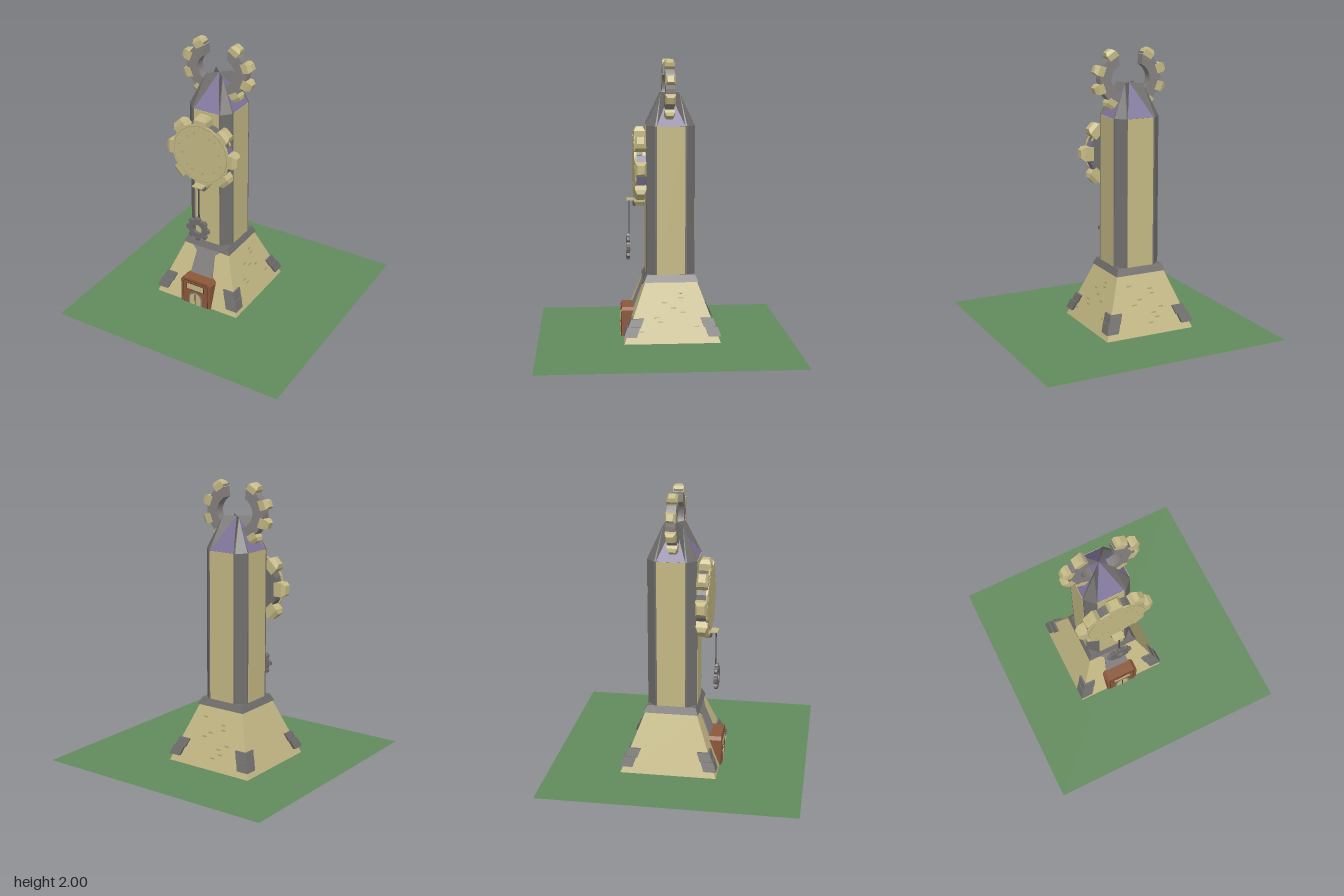
import * as THREE from 'three';
import { ConvexGeometry } from 'three/addons/geometries/ConvexGeometry.js';

const paint = (name, color, side = THREE.FrontSide) => {
  const m = new THREE.MeshStandardMaterial({ color, side, flatShading: true });
  m.name = name;
  return m;
};

export function createModel() {
  const stone = paint('tan stone', 0xc4b985);
  const brick = paint('dull brick', 0xa59a70);
  const metal = paint('grey metal', 0x706e6c);
  const light = paint('light grey', 0x858180);
  const slate = paint('purple slate', 0x7c7298);
  const wood = paint('brown wood', 0x8b583b);
  const darkWood = paint('dark wood', 0x5c3826);
  const iron = paint('dark iron', 0x4a4847);
  const grass = paint('green grass', 0x628a5c, THREE.DoubleSide);

  const model = new THREE.Group();
  model.name = 'clockTower';
  const tower = new THREE.Group();
  tower.name = 'tower';
  tower.position.set(-0.11, 0, -0.05);
  model.add(tower);

  const add = (parent, name, geo, mat, x = 0, y = 0, z = 0) => {
    const mesh = new THREE.Mesh(geo, mat);
    mesh.name = name;
    mesh.position.set(x, y, z);
    parent.add(mesh);
    return mesh;
  };
  const box = (w, h, d) => new THREE.BoxGeometry(w, h, d);
  // Box between two rectangles [x0, x1, z0, z1] at heights y0 and y1
  const prism = (y0, a, y1, b) => {
    const geo = box(1, 1, 1), p = geo.attributes.position;
    for (let i = 0; i < p.count; i++) {
      const top = p.getY(i) > 0, r = top ? b : a;
      p.setXYZ(i, p.getX(i) < 0 ? r[0] : r[1], top ? y1 : y0, p.getZ(i) < 0 ? r[2] : r[3]);
    }
    geo.computeVertexNormals();
    return geo;
  };
  const square = (h) => [-h, h, -h, h];
  const span = (s, a, b) => (s > 0 ? [a, b] : [-b, -a]);
  const V = (x, y, z) => new THREE.Vector3(x, y, z);
  // Eight points of a square with cut corners
  const octagon = (a, b, y) => [-1, 1].flatMap((sx) => [-1, 1].flatMap((sz) =>
    [V(sx * a, y, sz * b), V(sx * b, y, sz * a)]));
  let seed = 7;
  const rand = () => (seed = (seed * 16807) % 2147483647) / 2147483647;

  // Ground, with a patchwork of tiles under the tower
  add(model, 'ground', new THREE.PlaneGeometry(1.8, 1.8).rotateX(-Math.PI / 2), grass, 0, 0.01, 0);
  const tiles = [
    [stone, wood, slate, brick], [stone, wood, slate, slate],
    [wood, wood, stone, stone], [light, light, stone, stone],
  ];
  tiles.forEach((row, i) => row.forEach((mat, j) =>
    add(tower, 'undersideTile', new THREE.PlaneGeometry(0.165, 0.165).rotateX(Math.PI / 2), mat,
      0.2475 - j * 0.165, 0, i * 0.165 - 0.2475)));

  // Sloped base and collar
  const slope = (y) => 0.34 - (y - 0.01) * 0.378;
  add(tower, 'base', prism(0.011, square(0.34), 0.42, square(0.185)), stone);
  add(tower, 'collar', prism(0.42, square(0.195), 0.47, square(0.172)), metal);
  const strip = (y0, w0, y1, w1) => add(tower, 'frontStrip', prism(
    y0, [-w0, w0, 0.1, slope(y0) + 0.008], y1, [-w1, w1, 0.1, slope(y1) + 0.008]), light);
  strip(0.2, 0.095, 0.385, 0.075);
  strip(0.385, 0.075, 0.425, 0.125);

  // A few faint bricks on the left and back slopes
  for (const turn of [Math.PI / 2, Math.PI]) {
    const wall = new THREE.Group();
    wall.name = 'wallBricks';
    wall.rotation.y = turn;
    tower.add(wall);
    for (let i = 0; i < 9; i++) {
      const y = 0.09 + 0.032 * i;
      const x = (rand() * 2 - 1) * (slope(y) - 0.09);
      add(wall, 'brick', box(0.035, 0.01, 0.003), brick, x, y, slope(y)).rotation.x = -0.36;
    }
  }

  // Shaft with cut corners, a stone panel on each side
  add(tower, 'shaft', new ConvexGeometry([...octagon(0.113, 0.174, 0.47), ...octagon(0.113, 0.172, 1.53)]), metal);
  for (let i = 0; i < 4; i++) {
    const panel = new THREE.Group();
    panel.name = 'shaftSide';
    panel.rotation.y = i * Math.PI / 2;
    tower.add(panel);
    add(panel, 'shaftPanel', box(0.2, 1.058, 0.008), stone, 0, 1.0, 0.1715);
  }

  // Roof
  add(tower, 'roof', new ConvexGeometry([...octagon(0.102, 0.172, 1.53), V(0, 1.76, 0)]), slate);

  // Corner feet and roof hips, once per corner
  for (const sx of [-1, 1]) for (const sz of [-1, 1]) {
    const foot = (y0, y1, out) => {
      const r = (y) => {
        const h = slope(y) + out;
        return [...span(sx, h - 0.09, h), ...span(sz, h - 0.09, h)];
      };
      add(tower, 'cornerFoot', prism(y0, r(y0), y1, r(y1)), metal);
    };
    foot(0.06, 0.125, 0.022);
    foot(0.12, 0.18, 0.014);
    add(tower, 'roofHip', new ConvexGeometry([
      V(sx * 0.113, 1.53, sz * 0.173), V(sx * 0.173, 1.53, sz * 0.113),
      V(sx * 0.1, 1.53, sz * 0.173), V(sx * 0.173, 1.53, sz * 0.1),
      V(sx * 0.067, 1.76, sz * 0.067), V(0, 1.76, 0)]), metal);
  }

  // Ring of bevelled teeth in the xy plane
  const teeth = (parent, n, start, r0, r1, r2, w, d, mat, skip = -1) => {
    for (let i = 0; i < n; i++) {
      if (i === skip) continue;
      const tooth = new THREE.Group();
      tooth.name = 'tooth';
      tooth.rotation.z = start + i * 2 * Math.PI / n - Math.PI / 2;
      const a = [-w / 2, w / 2, -d / 2, d / 2], b = a.map((v) => v * 0.62);
      add(tooth, 'toothBase', prism(r0, a, r1, a), mat);
      add(tooth, 'toothTip', prism(r1, a, r2, b), mat);
      parent.add(tooth);
    }
  };
  const wheel = (name, y, z) => {
    const g = new THREE.Group();
    g.name = name;
    g.position.set(0, y, z);
    tower.add(g);
    return g;
  };
  const extrude = (shape, depth, curveSegments = 12) =>
    new THREE.ExtrudeGeometry(shape, { depth, bevelEnabled: false, curveSegments }).translate(0, 0, -depth / 2);

  // Open cog on the roof, slightly oval
  const crown = wheel('openCog', 1.787, 0.01);
  crown.scale.y = 0.855;
  const arc = new THREE.Shape();
  const o = Math.acos(0.095 / 0.235), n = Math.acos(0.086 / 0.148);
  arc.absarc(0, 0, 0.235, Math.PI - o, 2 * Math.PI + o, false);
  arc.absellipse(0, 0, 0.148, 0.135, 2 * Math.PI + n, Math.PI - n, true);
  add(crown, 'openRing', extrude(arc, 0.066, 24), light);
  teeth(crown, 10, Math.PI / 2, 0.21, 0.258, 0.285, 0.08, 0.072, stone, 0);

  // Clock wheel
  const clock = wheel('clock', 1.235, 0.217);
  const disc = (r, d) => new THREE.CylinderGeometry(r, r, d, 16).rotateX(Math.PI / 2);
  add(clock, 'clockDrum', disc(0.218, 0.075), metal);
  add(clock, 'clockRim', disc(0.229, 0.012), stone, 0, 0, 0.035);
  add(clock, 'clockGroove', disc(0.217, 0.003), brick, 0, 0, 0.041);
  add(clock, 'clockFace', disc(0.213, 0.004), stone, 0, 0, 0.042);
  teeth(clock, 8, Math.PI / 2, 0.19, 0.255, 0.283, 0.1, 0.08, stone);
  for (let i = 0; i < 12; i++) {
    const a = i * Math.PI / 6 + rand() * 0.3, r = 0.13 + rand() * 0.05;
    add(clock, 'faceMark', box(0.007, 0.012, 0.003), brick, r * Math.cos(a), r * Math.sin(a), 0.044);
  }
  // Coloured tiles on the left side of the drum
  for (const s of [-1, 1]) {
    const patch = new THREE.Group();
    patch.name = 'drumTiles';
    patch.rotation.z = s * Math.PI / 8;
    clock.add(patch);
    add(patch, 'slateTile', box(0.004, 0.07, 0.064), slate, 0.218, 0, -0.004);
    if (s > 0) [grass, wood, stone].forEach((mat, i) =>
      add(patch, 'smallTile', box(0.004, 0.026, 0.021), mat, 0.2195, 0.022, 0.016 - i * 0.021));
  }

  // Pendulum with bracket, rod and small cog
  add(tower, 'pendulumBracket', prism(0.95, [-0.03, 0.03, 0.19, 0.264], 0.99, [-0.05, 0.05, 0.17, 0.264]), metal);
  add(tower, 'pendulumShelf', box(0.08, 0.01, 0.13), stone, 0, 0.994, 0.245);
  add(tower, 'pendulumRod', box(0.008, 0.28, 0.008), iron, 0.003, 0.855, 0.292);
  const bob = wheel('pendulumCog', 0.65, 0.3);
  const ring = new THREE.Shape().absarc(0, 0, 0.075, 0, Math.PI * 2);
  ring.holes.push(new THREE.Path().absarc(0, 0, 0.038, 0, Math.PI * 2, true));
  add(bob, 'cogRing', extrude(ring, 0.026, 8), metal);
  teeth(bob, 8, 0, 0.065, 0.083, 0.095, 0.035, 0.026, metal);

  // Wooden entrance booth with sign and arched door
  const booth = (w, h, c) => new THREE.Shape([[-w, 0.011], [w, 0.011], [w, h - c], [w - c, h], [c - w, h], [-w, h - c]]
    .map(([x, y]) => new THREE.Vector2(x, y)));
  add(tower, 'booth', extrude(booth(0.125, 0.225, 0.022), 0.15), wood, 0, 0, 0.275);
  add(tower, 'boothFrame', extrude(booth(0.104, 0.208, 0.015), 0.006), darkWood, 0, 0, 0.35);
  add(tower, 'boothPanel', extrude(booth(0.099, 0.204, 0.013), 0.006), wood, 0, 0, 0.352);
  add(tower, 'signBorder', box(0.148, 0.056, 0.005), darkWood, 0, 0.163, 0.354);
  add(tower, 'sign', box(0.138, 0.046, 0.006), stone, 0, 0.163, 0.355);
  const arch = (r) => {
    const s = new THREE.Shape().moveTo(-r, 0.011).lineTo(r, 0.011).lineTo(r, 0.062);
    return s.absarc(0, 0.062, r, 0, Math.PI, false);
  };
  add(tower, 'doorFrame', extrude(arch(0.057), 0.005), light, 0, 0, 0.354);
  add(tower, 'door', extrude(arch(0.046), 0.005), stone, 0, 0, 0.356);
  add(tower, 'doorSplit', box(0.006, 0.095, 0.004), darkWood, 0, 0.059, 0.358);
  return model;
}
